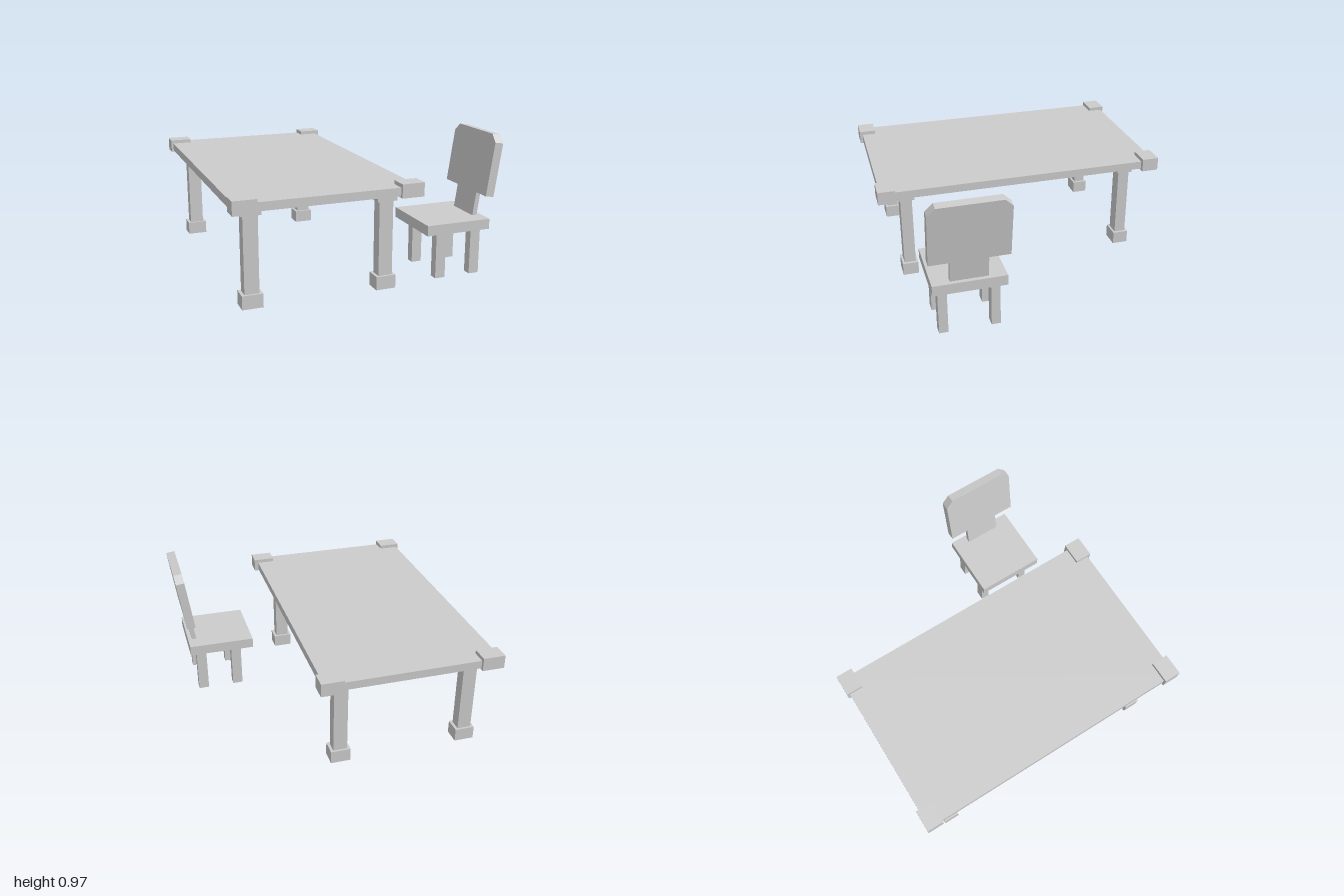
import * as THREE from 'three';

const material = new THREE.MeshStandardMaterial({ color: 0xcccccc, flatShading: true });

// Box given by its [min, max] extent on each axis
function box(parent, name, [x0, x1], [y0, y1], [z0, z1]) {
  const mesh = new THREE.Mesh(new THREE.BoxGeometry(x1 - x0, y1 - y0, z1 - z0), material);
  mesh.position.set((x0 + x1) / 2, (y0 + y1) / 2, (z0 + z1) / 2);
  mesh.name = name;
  parent.add(mesh);
  return mesh;
}

const span = (centre, size) => [centre - size / 2, centre + size / 2];

function createTable() {
  const table = new THREE.Group();
  table.name = 'table';
  box(table, 'tableTop', [-0.945, 0.23], [0.68, 0.735], [-0.98, 0.98]);

  for (const z of [-1, 1]) {
    // Blocks capping the corners of the top
    for (const x of [-0.885, 0.183]) {
      box(table, 'cornerBlock', span(x, 0.15), [0.67, 0.76], span(z * 0.942, 0.116));
    }
    // Legs with a collar above and a foot below
    for (const x of [-0.812, 0.077]) {
      const leg = new THREE.Group();
      leg.name = 'tableLeg';
      box(leg, 'legShaft', span(x, 0.095), [0.12, 0.618], span(z * 0.8, 0.08));
      box(leg, 'legCollar', span(x, 0.135), [0.618, 0.682], span(z * 0.8, 0.11));
      box(leg, 'legFoot', span(x, 0.135), [0.03, 0.12], span(z * 0.8, 0.11));
      table.add(leg);
    }
  }
  return table;
}

function createChair() {
  const chair = new THREE.Group();
  chair.name = 'chair';
  chair.position.z = 0.532;
  box(chair, 'seat', [0.415, 0.885], [0.322, 0.393], span(0, 0.487));
  for (const x of [0.54, 0.802]) {
    for (const z of [-0.174, 0.174]) {
      box(chair, 'chairLeg', span(x, 0.073), [0, 0.322], span(z, 0.061));
    }
  }

  // Leaning backrest: a post carrying a panel with clipped top corners
  const backrest = new THREE.Group();
  backrest.name = 'backrest';
  backrest.position.set(0.834, 0.56, 0);
  backrest.rotation.z = -0.144;
  box(backrest, 'backPost', span(0.029, 0.033), [-0.172, 0.02], span(0, 0.25));

  const w = 0.262, h = 0.419, clip = 0.052;
  const outline = new THREE.Shape([
    [-w, 0], [w, 0], [w, h - clip], [w - clip, h], [clip - w, h], [-w, h - clip],
  ].map(([x, y]) => new THREE.Vector2(x, y)));
  const geometry = new THREE.ExtrudeGeometry(outline, { depth: 0.061, bevelEnabled: false });
  geometry.rotateY(Math.PI / 2);
  const panel = new THREE.Mesh(geometry, material);
  panel.name = 'backPanel';
  backrest.add(panel);
  chair.add(backrest);
  return chair;
}

export function createModel() {
  const model = new THREE.Group();
  model.name = 'tableAndChair';
  model.add(createTable(), createChair());
  return model;
}
